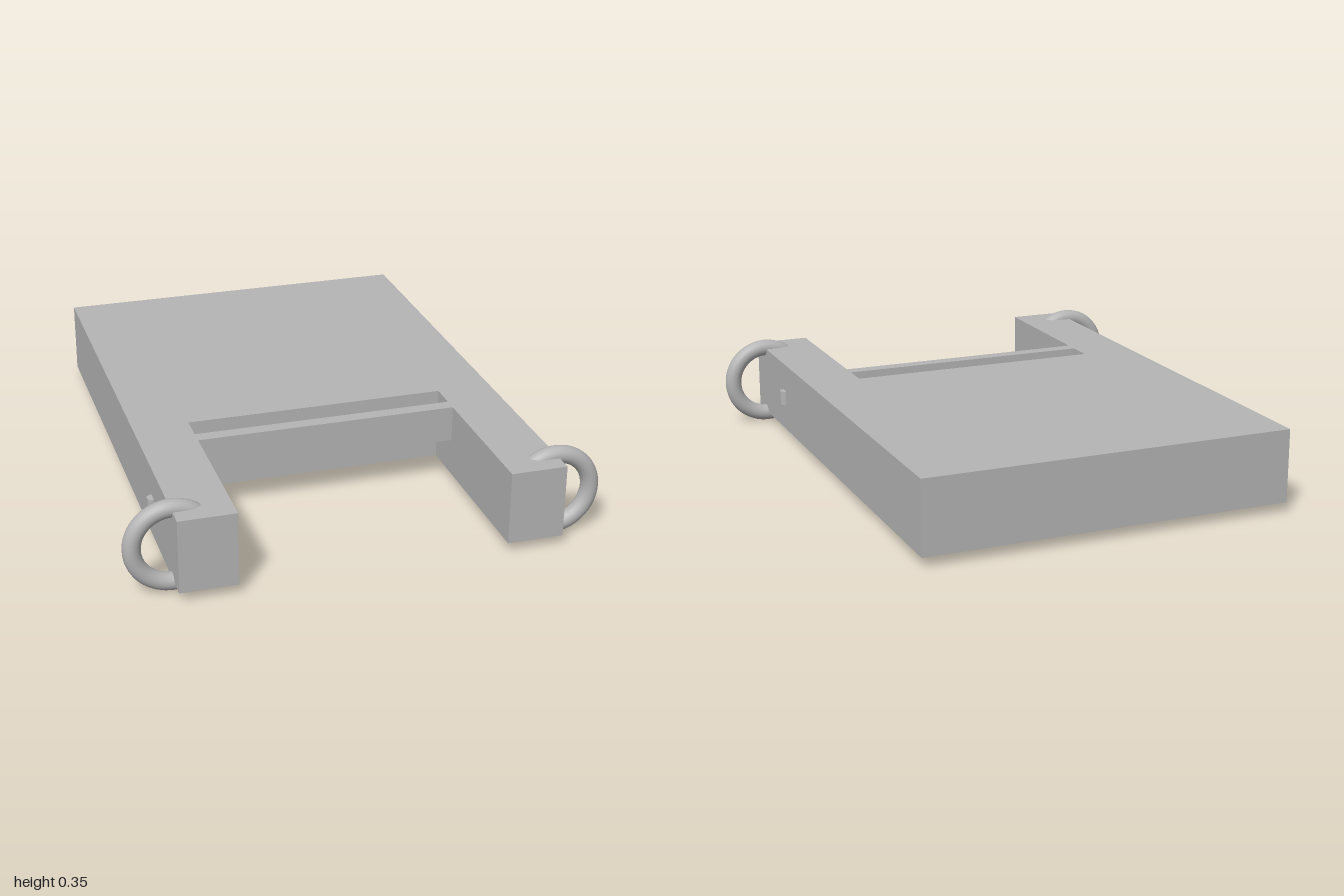
import * as THREE from 'three';

export function createModel() {
  const group = new THREE.Group();
  const grey = new THREE.MeshStandardMaterial({ color: 0xb4b4b4 });
  grey.name = 'plain grey';

  const add = (name, geometry, x = 0, y = 0, z = 0) => {
    const mesh = new THREE.Mesh(geometry, grey);
    mesh.name = name;
    mesh.position.set(x, y, z);
    group.add(mesh);
    return mesh;
  };

  const halfWidth = 0.713, bottom = 0.04, height = 0.28, middle = 0.18;

  // U-shaped slab with two forward arms; shape y is -z before it is laid flat
  const outline = new THREE.Shape([
    [-halfWidth, 1], [-halfWidth, -1], [-0.5, -1], [-0.5, -0.265],
    [0.5, -0.265], [0.5, -1], [halfWidth, -1], [halfWidth, 1],
  ].map(([x, y]) => new THREE.Vector2(x, y)));
  const slab = new THREE.ExtrudeGeometry(outline, { depth: height, bevelEnabled: false });
  slab.rotateX(-Math.PI / 2);
  add('body', slab, 0, bottom, 0);

  // Upper cross bar between the arms, flush with the top
  add('crossBar', new THREE.BoxGeometry(1, height / 2, 0.053), 0, 0.25, 0.395);

  // Rings through the arm tips and small upright pins on the outer sides
  for (const [side, s] of [['left', 1], ['right', -1]]) {
    add(side + 'Ring', new THREE.TorusGeometry(0.143, 0.033, 20, 64), s * 0.711, 0.178, 0.9);
    add(side + 'Pin', new THREE.CylinderGeometry(0.022, 0.022, 0.056, 20), s * halfWidth, middle, 0.6);
  }
  return group;
}
